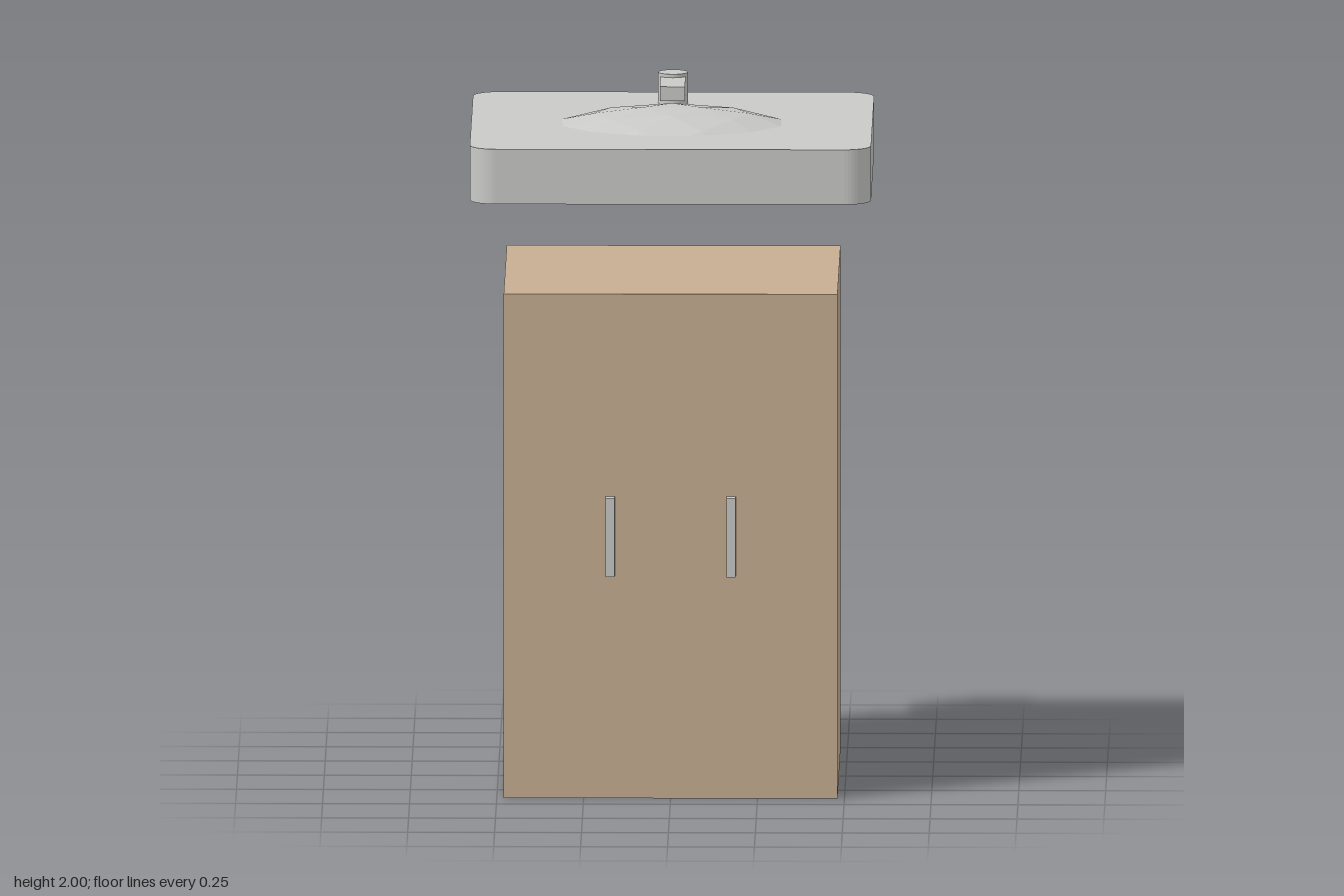
import * as THREE from 'three';

const wood = new THREE.MeshStandardMaterial({ color: 0xc6ae91 });
wood.name = 'wood';
const ceramic = new THREE.MeshStandardMaterial({ color: 0xc9c9c7 });
ceramic.name = 'paleGrey';

export function createModel() {
  const model = new THREE.Group();
  model.name = 'washbasinCabinet';

  const add = (name, geometry, material, x, y, z) => {
    const mesh = new THREE.Mesh(geometry, material);
    mesh.name = name;
    mesh.position.set(x, y, z);
    model.add(mesh);
    return mesh;
  };

  // Cabinet and its two door handles
  add('cabinet', new THREE.BoxGeometry(0.96, 1.47, 0.856), wood, 0, 0.735, -0.033);
  for (const side of [1, -1]) {
    add(side > 0 ? 'leftHandle' : 'rightHandle',
      new THREE.BoxGeometry(0.027, 0.23, 0.034), ceramic, side * 0.174, 0.765, 0.412);
  }

  // Countertop slab with rounded vertical corners
  const w = 0.577, d = 0.507, r = 0.075;
  const outline = new THREE.Shape();
  outline.absarc(w - r, d - r, r, 0, Math.PI / 2);
  outline.absarc(-w + r, d - r, r, Math.PI / 2, Math.PI);
  outline.absarc(-w + r, -d + r, r, Math.PI, Math.PI * 1.5);
  outline.absarc(w - r, -d + r, r, Math.PI * 1.5, Math.PI * 2);
  const slab = new THREE.ExtrudeGeometry(outline, { depth: 0.16, bevelEnabled: false, curveSegments: 6 });
  slab.rotateX(-Math.PI / 2);
  add('countertop', slab, ceramic, 0, 1.75, 0);

  // Faceted flattened basin passing through the slab
  const basin = new THREE.IcosahedronGeometry(1, 2);
  basin.scale(0.435, 0.138, 0.322);
  basin.computeVertexNormals();
  add('basin', basin, ceramic, 0, 1.819, 0.035);

  // Tap: round stem with a flat spout
  add('tapStem', new THREE.CylinderGeometry(0.043, 0.043, 0.092, 32), ceramic, 0, 1.954, -0.315);
  add('tapSpout', new THREE.BoxGeometry(0.072, 0.042, 0.24), ceramic, 0, 1.969, -0.234);

  return model;
}
